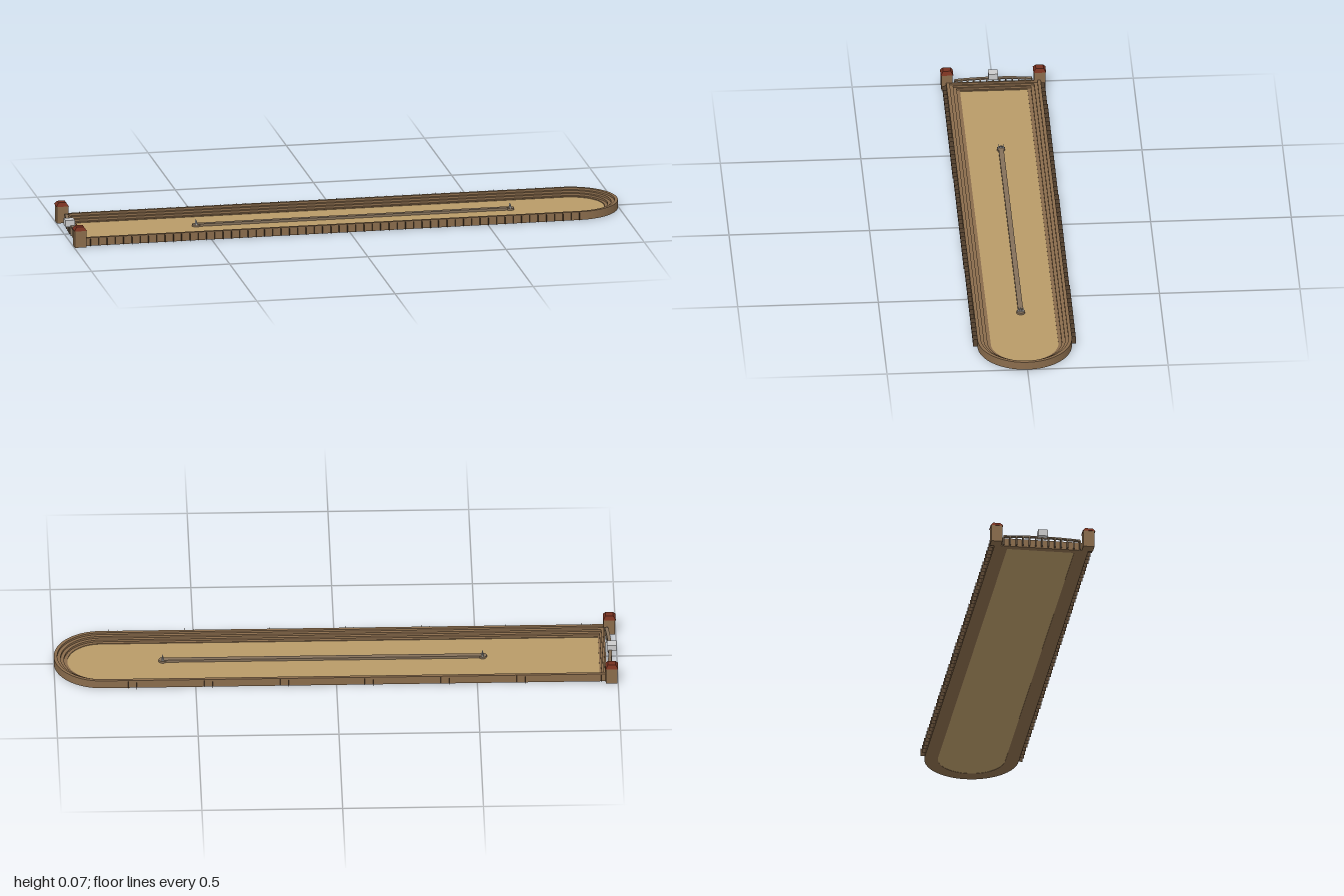
import * as THREE from 'three';

const mat = (color) => new THREE.MeshStandardMaterial({ color, roughness: 0.9 });
const SAND = mat(0xb89a68), BRICK = mat(0x8a6c4c), STONE = mat(0x84705a);
const MARBLE = mat(0xcccccc), TILE = mat(0x75301f);
const FIN = new THREE.MeshStandardMaterial({ color: 0x5a4632, side: THREE.DoubleSide });

const R = 0.168, INNER = 0.12, END = 0.832, LEFT = -0.96, WALL = 0.03;

// Outline with one square end (-x) and one round end (+x)
function outline(path, r) {
  const left = LEFT + (R - r) * 0.5;
  path.moveTo(left, -r);
  path.lineTo(END, -r);
  path.absarc(END, 0, r, -Math.PI / 2, Math.PI / 2, false);
  path.lineTo(left, r);
  path.closePath();
  return path;
}

// Horizontal plate extruded upwards from y
function plate(shape, y, height) {
  const g = new THREE.ExtrudeGeometry(shape, { depth: height, bevelEnabled: false, curveSegments: 32 });
  return g.rotateX(-Math.PI / 2).translate(0, y, 0);
}

function add(parent, name, geometry, material, x = 0, y = 0, z = 0) {
  const m = new THREE.Mesh(geometry, material);
  m.name = name;
  m.position.set(x, y, z);
  parent.add(m);
  return m;
}

// Box standing on y
function box(parent, name, material, [w, h, d], x, y, z) {
  return add(parent, name, new THREE.BoxGeometry(w, h, d), material, x, y + h / 2, z);
}

function group(parent, name) {
  const g = new THREE.Group();
  g.name = name;
  parent.add(g);
  return g;
}

export function createModel() {
  const model = new THREE.Group();
  model.name = 'chariotRacecourse';

  // Sand track
  add(model, 'arenaFloor', plate(outline(new THREE.Shape(), INNER + 0.002), 0.001, 0.004), SAND);

  // Seating: stacked rings, each set further back
  const stands = group(model, 'stands');
  const tiers = 4;
  for (let i = 0; i < tiers; i++) {
    const shape = outline(new THREE.Shape(), R);
    shape.holes.push(outline(new THREE.Path(), INNER + i * 0.012));
    add(stands, 'seatingTier', plate(shape, i * WALL / tiers, WALL / tiers), BRICK);
  }

  // Thin buttress fins along both straight outer walls
  const buttresses = group(model, 'buttresses');
  const fin = new THREE.PlaneGeometry(0.015, 0.028).rotateY(Math.PI / 2);
  const fins = 60;
  for (const side of [-1, 1])
    for (let i = 0; i < fins; i++)
      add(buttresses, 'buttress', fin, FIN, -0.94 + i * (1.77 / (fins - 1)), 0.015, side * (R + 0.0075));

  // Central barrier with a turning post group at each end
  const barrier = group(model, 'centralBarrier');
  box(barrier, 'barrierWall', STONE, [1.13, 0.009, 0.018], 0.045, 0.005, 0);
  for (const x of [-0.523, 0.613]) {
    const posts = group(barrier, 'turningPosts');
    add(posts, 'postBase', new THREE.CylinderGeometry(0.015, 0.015, 0.007, 16), STONE, x, 0.0085, 0);
    for (const z of [-0.008, 0, 0.008])
      add(posts, 'turningPost', new THREE.ConeGeometry(0.004, 0.017, 8), MARBLE, x, 0.0205, z);
  }

  // Starting gates: a shallow curved row of stalls
  const gates = group(model, 'startingGates');
  const stalls = 12, pitch = 0.274 / stalls;
  const bow = (z) => -0.966 - 0.01 * (1 - (z / 0.137) ** 2);
  for (let i = 0; i <= stalls; i++) {
    const z = -0.137 + i * pitch;
    box(gates, 'stallPier', STONE, [0.012, 0.031, 0.005], bow(z), 0, z);
    if (i === stalls) break;
    const mid = z + pitch / 2;
    const lintel = box(gates, 'stallLintel', STONE, [0.012, 0.005, pitch], bow(mid), 0.031, mid);
    lintel.rotation.y = Math.atan2(bow(z + pitch) - bow(z), pitch);
  }
  box(gates, 'presidingBox', MARBLE, [0.034, 0.024, 0.034], -0.982, 0.031, 0);

  // Corner towers with truncated hip roofs
  for (const side of [-1, 1]) {
    const tower = group(model, side > 0 ? 'frontTower' : 'backTower');
    box(tower, 'towerBody', BRICK, [0.042, 0.062, 0.04], -0.977, 0, side * 0.165);
    const roof = new THREE.CylinderGeometry(0.019, 0.0318, 0.013, 4, 1).rotateY(Math.PI / 4).toNonIndexed();
    roof.computeVertexNormals();
    add(tower, 'towerRoof', roof, TILE, -0.9775, 0.0675, side * 0.165);
  }

  return model;
}
